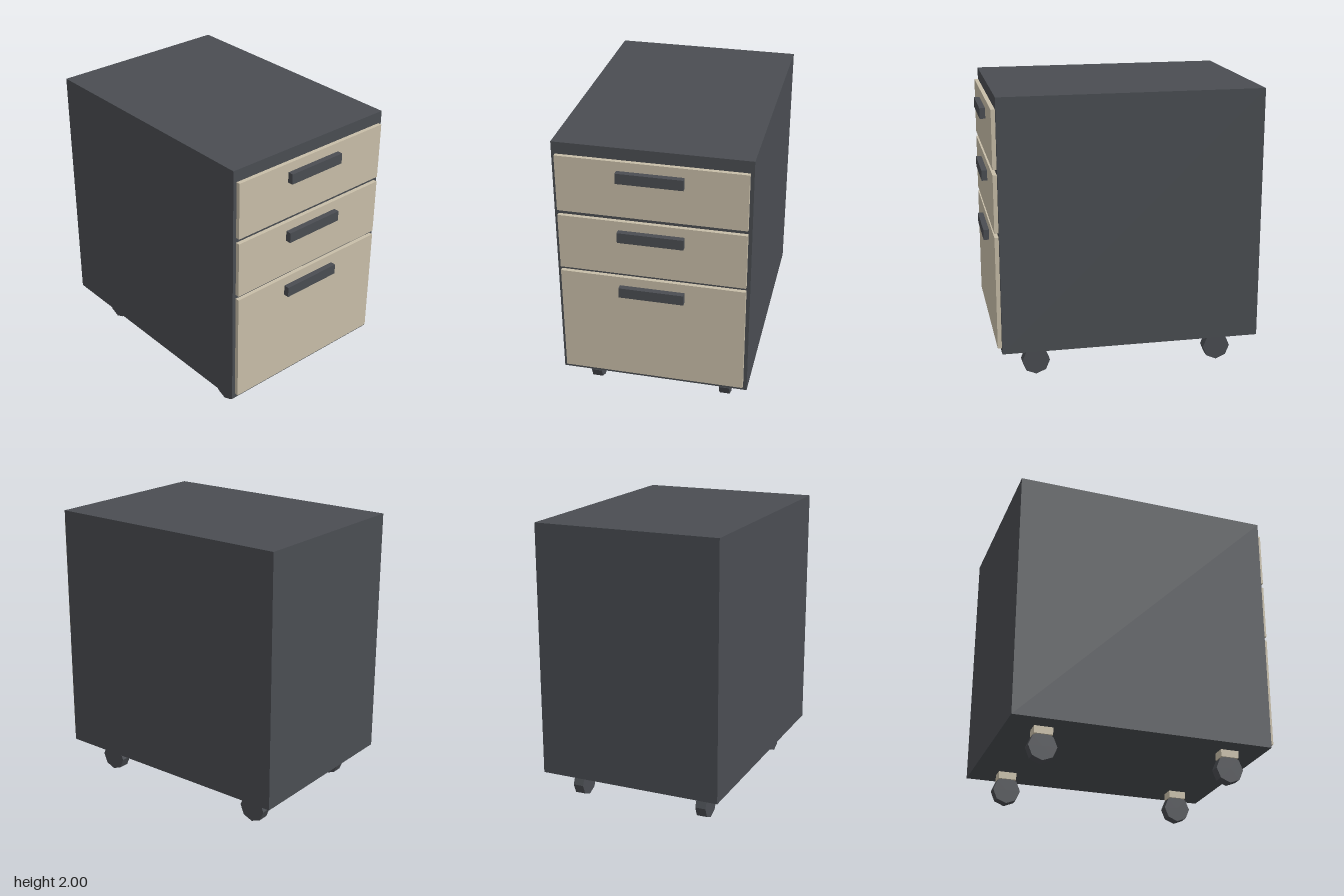
import * as THREE from 'three';

export function createModel() {
  const charcoal = new THREE.MeshStandardMaterial({ color: 0x4a4d52, flatShading: true });
  charcoal.name = 'charcoal';
  const beige = new THREE.MeshStandardMaterial({ color: 0xc8bea8, flatShading: true });
  beige.name = 'beige';

  const cabinet = new THREE.Group();
  cabinet.name = 'drawerCabinet';

  // Box given by its lower and upper limits on each axis
  const box = (parent, name, material, [x0, x1], [y0, y1], [z0, z1]) => {
    const mesh = new THREE.Mesh(new THREE.BoxGeometry(x1 - x0, y1 - y0, z1 - z0), material);
    mesh.position.set((x0 + x1) / 2, (y0 + y1) / 2, (z0 + z1) / 2);
    mesh.name = name;
    parent.add(mesh);
  };

  // Carcass
  box(cabinet, 'carcass', charcoal, [-0.655, 0.655], [0.229, 2], [-0.94, 0.873]);

  // Drawers: bottom and top of each front, with a bar handle near the top
  const drawers = [
    ['topDrawer', 1.519, 1.917],
    ['middleDrawer', 1.085, 1.483],
    ['bottomDrawer', 0.265, 1.055],
  ];
  for (const [name, bottom, top] of drawers) {
    const drawer = new THREE.Group();
    drawer.name = name;
    box(drawer, 'drawerFront', beige, [-0.63, 0.63], [bottom, top], [0.873, 0.901]);
    box(drawer, 'handle', charcoal, [-0.221, 0.221], [top - 0.137, top - 0.064], [0.901, 0.94]);
    cabinet.add(drawer);
  }

  // Casters: mounting block and eight-sided wheel at each corner
  const wheelGeometry = new THREE.CylinderGeometry(0.098, 0.098, 0.075, 8).rotateZ(Math.PI / 2);
  for (const x of [-0.471, 0.471]) {
    for (const z of [0.624, -0.69]) {
      const caster = new THREE.Group();
      caster.name = `${z > 0 ? 'front' : 'back'}${x > 0 ? 'Left' : 'Right'}Caster`;
      caster.position.set(x, 0, z);
      box(caster, 'casterMount', beige, [-0.048, 0.048], [0.178, 0.229], [-0.064, 0.064]);
      const wheel = new THREE.Mesh(wheelGeometry, charcoal);
      wheel.name = 'wheel';
      wheel.position.y = 0.098;
      caster.add(wheel);
      cabinet.add(caster);
    }
  }

  return cabinet;
}
